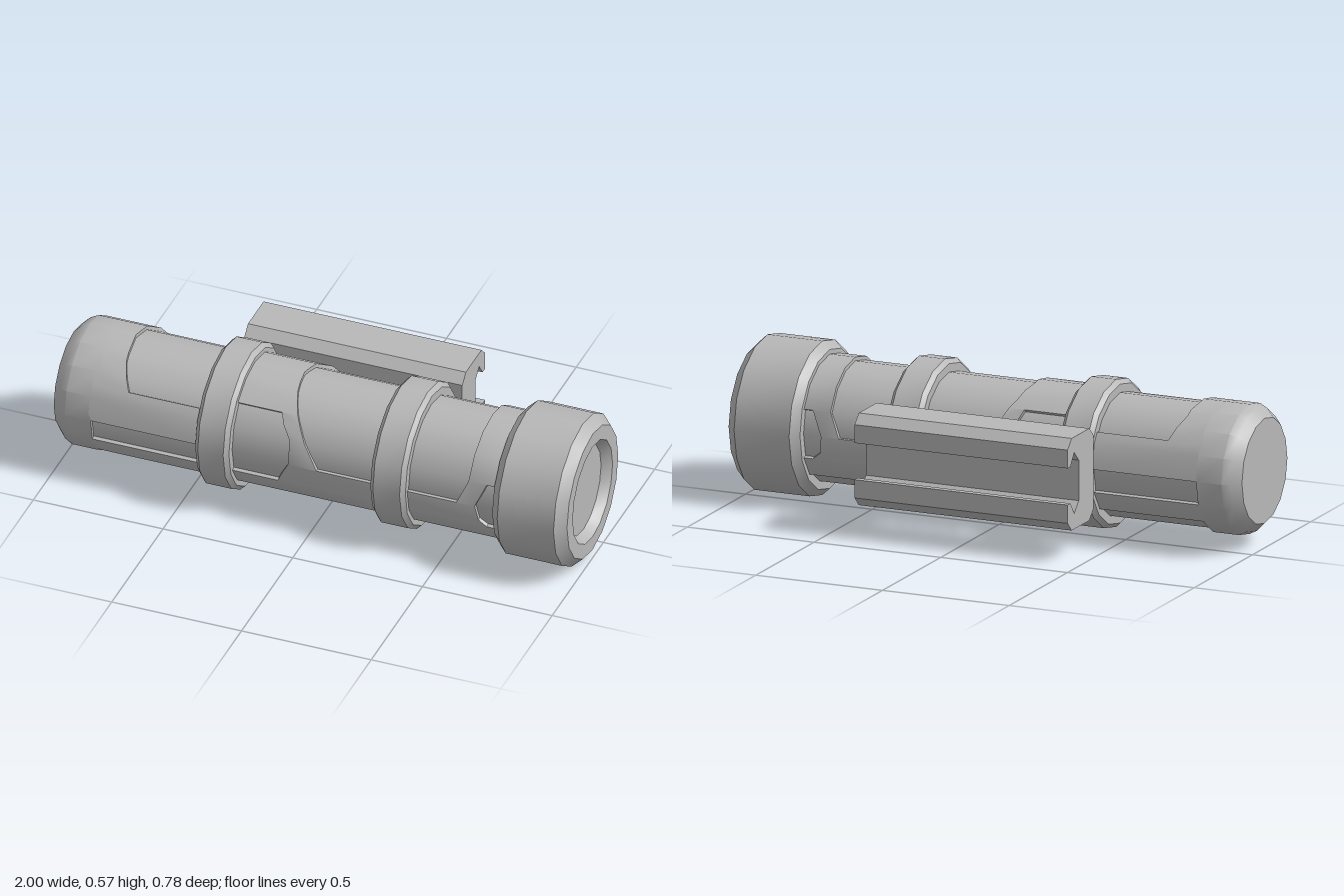
import * as THREE from 'three';
import { toCreasedNormals } from 'three/addons/utils/BufferGeometryUtils.js';

const SIDES = 16, STEP = 360 / SIDES, RAD = Math.PI / 180;
const R_CORE = 0.227, R_SHELL = 0.241;

// Radius of a 16-sided outline at an angle in degrees
function polyRadius(r, a) {
  const off = (a % STEP) - STEP / 2;
  return r * Math.cos(RAD * STEP / 2) / Math.cos(RAD * off);
}

// Round part along x from [x, radius] pairs
function turned(profile) {
  const g = new THREE.LatheGeometry(profile.map(([x, r]) => new THREE.Vector2(r, x)), SIDES);
  g.rotateZ(-Math.PI / 2);
  return toCreasedNormals(g, 0.55);
}

// Curved slab: rows of [degrees from top, left x, right x], side +1 front or -1 back
function addPanel(out, rows, side) {
  const a0 = rows[0][0], a1 = rows[rows.length - 1][0];
  const angles = new Set(rows.map(r => r[0]));
  for (let a = 0; a <= 180; a += STEP) if (a > a0 && a < a1) angles.add(a);
  const sections = [...angles].sort((p, q) => p - q).map(a => {
    let k = 0;
    while (k < rows.length - 2 && a > rows[k + 1][0]) k++;
    const [p, q] = [rows[k], rows[k + 1]];
    const t = (a - p[0]) / (q[0] - p[0]);
    const xl = p[1] + (q[1] - p[1]) * t, xr = p[2] + (q[2] - p[2]) * t;
    const at = (x, r) => {
      const pr = polyRadius(r, a);
      return [x, pr * Math.cos(a * RAD), side * pr * Math.sin(a * RAD)];
    };
    return { ol: at(xl, R_SHELL), or: at(xr, R_SHELL), il: at(xl, R_CORE - 0.01), ir: at(xr, R_CORE - 0.01) };
  });
  const quad = (a, b, c, d) => {
    const tris = side > 0 ? [a, b, c, a, c, d] : [a, c, b, a, d, c];
    tris.forEach(v => out.push(...v));
  };
  for (let i = 0; i < sections.length - 1; i++) {
    const s = sections[i], n = sections[i + 1];
    quad(s.ol, n.ol, n.or, s.or);
    quad(s.ol, s.il, n.il, n.ol);
    quad(n.or, n.ir, s.ir, s.or);
  }
  const f = sections[0], l = sections[sections.length - 1];
  quad(f.ol, f.or, f.ir, f.il);
  quad(l.il, l.ir, l.or, l.ol);
}

export function createModel() {
  const model = new THREE.Group();
  model.name = 'flashlight';
  const grey = new THREE.MeshStandardMaterial({ color: 0xb8b8b8 });
  grey.name = 'grey';

  const barrel = new THREE.Group();
  barrel.name = 'barrel';
  barrel.position.set(0, 0.289, 0.105);
  model.add(barrel);
  const add = (parent, name, geometry) => {
    const mesh = new THREE.Mesh(geometry, grey);
    mesh.name = name;
    parent.add(mesh);
    return mesh;
  };

  // Core tube, tail cap and head with a recessed lens
  add(barrel, 'core', turned([[-0.9, R_CORE], [0.74, R_CORE]]));
  add(barrel, 'tailCap', turned([[-1, 0], [-1, 0.195], [-0.97, 0.226], [-0.94, R_SHELL],
    [-0.84, R_SHELL], [-0.84, 0.21]]));
  add(barrel, 'head', turned([[0.715, 0.2], [0.715, 0.258], [0.745, 0.286], [0.962, 0.286],
    [1, 0.25], [1, 0.195], [0.965, 0.171], [0.965, 0]]));

  // Two clamp rings
  for (const [name, x0, x1] of [['rearRing', -0.43, -0.3], ['frontRing', 0.245, 0.38]]) {
    add(barrel, name, turned([[x0, 0.21], [x0, 0.258], [x0 + 0.016, 0.274],
      [x1 - 0.016, 0.274], [x1, 0.258], [x1, 0.21]]));
  }

  // Raised shell panels; the gaps between them form the grooves and windows
  const slant = a => -0.11 + 0.14 * (1 - Math.cos(a * RAD));
  const panels = [
    [[0, -0.85, -0.76], [30, -0.85, -0.75], [45, -0.85, -0.73], [57, -0.85, -0.71]],
    [[57, -0.85, -0.36], [90, -0.85, -0.36]],
    [[112, -0.85, 0.73], [133, -0.85, 0.73]],
    [0, 11.25, 22.5, 33.75, 45].map(a => [a, -0.38, slant(a)]),
    [[45, -0.13], [55, -0.115], [67.5, -0.08], [90, -0.08]].map(([a, x]) => [a, x, slant(a)]),
    [[90, -0.08, 0.64], [106, -0.115, 0.65], [112, -0.125, 0.68]],
    [[68, 0.61, 0.68], [90, 0.57, 0.64]],
    [[0, 0.615, 0.73], [68, 0.61, 0.73]],
  ];
  const points = [];
  for (const side of [1, -1]) panels.forEach(rows => addPanel(points, rows, side));
  const shell = new THREE.BufferGeometry();
  shell.setAttribute('position', new THREE.Float32BufferAttribute(points, 3));
  add(barrel, 'shellPanels', toCreasedNormals(shell, 0.55));

  // Mounting rail with a hooked channel, upper half mirrored to the lower
  const half = [[0.167, 0.136], [0.203, 0.171], [0.355, 0.171], [0.39, 0.136],
    [0.39, 0.068], [0.365, 0.068], [0.333, 0.113], [0.294, 0.075]];
  const outline = [...half, ...half.map(([u, v]) => [u, -v]).reverse()];
  const railShape = new THREE.Shape(outline.map(([u, v]) => new THREE.Vector2(u, v)));
  const railGeo = new THREE.ExtrudeGeometry(railShape, { depth: 0.84, bevelEnabled: false });
  railGeo.rotateY(Math.PI / 2);
  add(model, 'mountingRail', railGeo).position.set(-0.45, 0.289, 0);

  return model;
}
